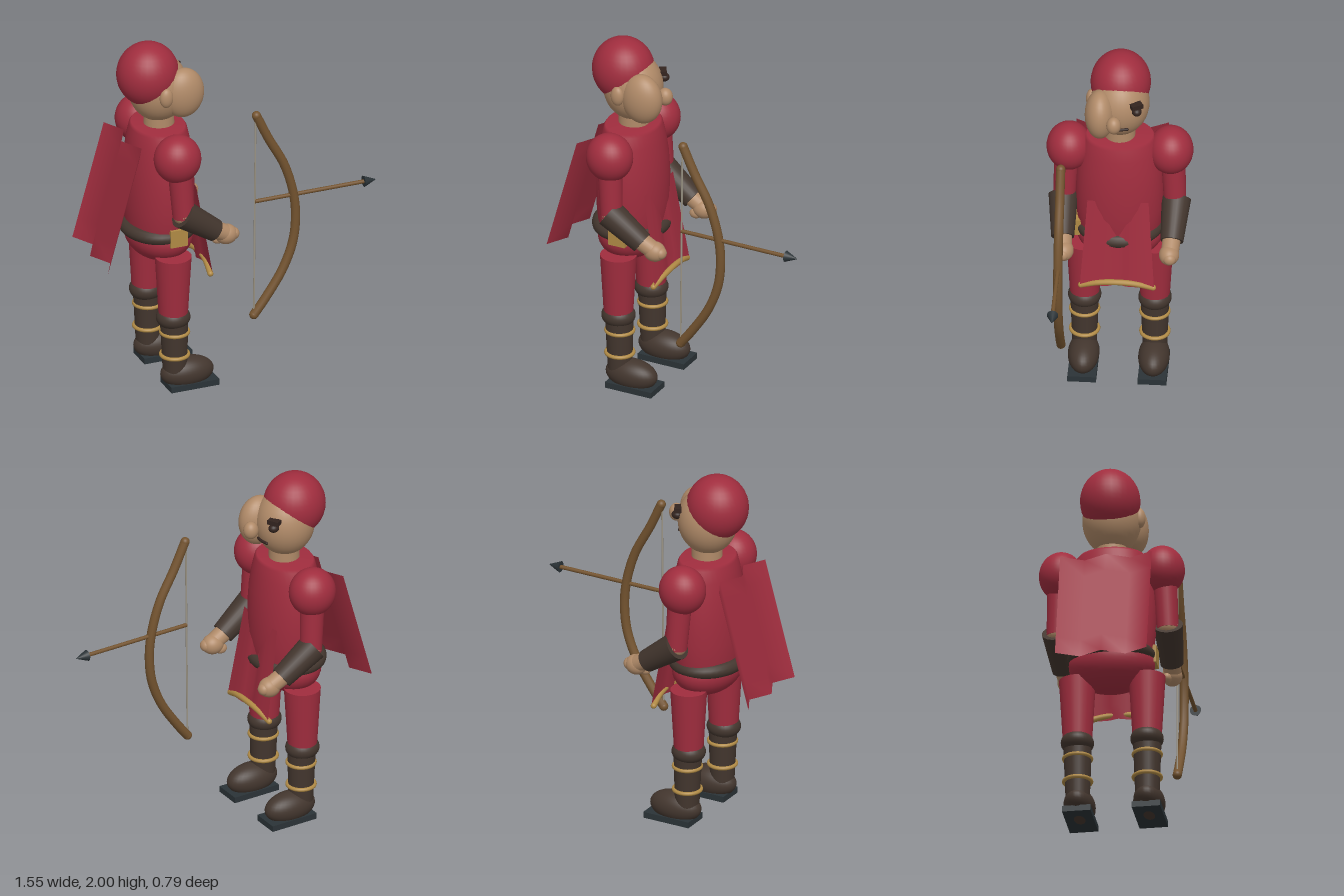
import * as THREE from 'three';

const mat = (name, color, side = THREE.FrontSide) => {
  const m = new THREE.MeshStandardMaterial({ color, side });
  m.name = name;
  return m;
};
const V = (x, y, z) => new THREE.Vector3(x, y, z);

export function createModel() {
  const red = mat('red cloth', 0xa02d3e, THREE.DoubleSide);
  const skin = mat('skin', 0xb08a68);
  const leather = mat('dark leather', 0x43362e);
  const wood = mat('wood', 0x73532f);
  const gold = mat('gold', 0xb08a45);
  const slate = mat('dark slate', 0x2b3337);
  const cord = mat('bow string', 0x9a9384);
  const ink = mat('eye dark', 0x33241f);

  const root = new THREE.Group();
  root.name = 'archer';
  const add = (name, geo, material, p = [0, 0, 0]) => {
    const m = new THREE.Mesh(geo, material);
    m.name = name;
    m.position.set(...p);
    root.add(m);
    return m;
  };
  const ball = (name, material, p, r) => {
    const m = add(name, new THREE.SphereGeometry(1, 32, 20), material, p);
    m.scale.set(...r);
    return m;
  };
  // tapered limb between two points
  const limb = (name, material, a, b, ra, rb) => {
    const A = V(...a), B = V(...b), d = B.clone().sub(A);
    const m = add(name, new THREE.CylinderGeometry(rb, ra, d.length(), 24), material);
    m.position.copy(A).add(B).multiplyScalar(0.5);
    m.quaternion.setFromUnitVectors(V(0, 1, 0), d.normalize());
    return m;
  };
  const tube = (name, material, pts, r, seg = 40) => {
    const path = new THREE.CatmullRomCurve3(pts.map((p) => V(...p)));
    add(name, new THREE.TubeGeometry(path, seg, r, 12), material);
    // closed ends
    ball(name + 'EndA', material, pts[0], [r, r, r]);
    ball(name + 'EndB', material, pts[pts.length - 1], [r, r, r]);
  };
  // hanging cloth: pleated sheet, x slopes from top to bottom
  const cloth = (name, yTop, yBot, xTop, xBot, wTop, wBot, folds) => {
    const n = folds.length - 1;
    const g = new THREE.PlaneGeometry(1, 1, n, 6);
    const p = g.attributes.position;
    for (let i = 0; i < p.count; i++) {
      const u = p.getX(i) + 0.5, t = 0.5 - p.getY(i);
      const fold = folds[Math.round(u * n)];
      const w = THREE.MathUtils.lerp(wTop, wBot, t);
      p.setXYZ(i, THREE.MathUtils.lerp(xTop, xBot, t) + fold,
        THREE.MathUtils.lerp(yTop, yBot, t), (0.5 - u) * w);
    }
    g.computeVertexNormals();
    add(name, g, red);
  };

  // head
  ball('head', skin, [-0.38, 1.73, 0], [0.165, 0.19, 0.16]);
  ball('cap', red, [-0.44, 1.82, 0], [0.172, 0.18, 0.163]);
  ball('cheek', skin, [-0.275, 1.72, 0.1], [0.118, 0.143, 0.083]);
  ball('nose', skin, [-0.175, 1.72, 0.02], [0.042, 0.05, 0.04]);
  ball('ear', skin, [-0.395, 1.732, 0.155], [0.038, 0.056, 0.03]);
  ball('eye', ink, [-0.245, 1.768, -0.1], [0.03, 0.024, 0.027]);
  const brow = add('brow', new THREE.BoxGeometry(0.04, 0.026, 0.065), ink, [-0.25, 1.802, -0.097]);
  brow.rotation.y = 0.5;
  tube('mouth', ink, [[-0.235, 1.652, 0.045], [-0.222, 1.656, 0], [-0.232, 1.655, -0.05]], 0.008, 12);
  limb('neck', skin, [-0.375, 1.46, 0], [-0.375, 1.62, 0], 0.085, 0.082);

  // torso
  const profile = [[0.001, 0.8], [0.15, 0.8], [0.175, 0.92], [0.187, 1.06], [0.187, 1.2],
    [0.18, 1.32], [0.165, 1.43], [0.15, 1.5], [0.14, 1.515], [0.001, 1.52]];
  const torso = add('torso', new THREE.LatheGeometry(
    profile.map(([r, y]) => new THREE.Vector2(r, y)), 40), red, [-0.38, 0, 0]);
  torso.scale.z = 1.28;
  ball('hips', red, [-0.38, 0.87, 0], [0.18, 0.15, 0.235]);

  // belt and buckle
  const belt = add('belt', new THREE.TorusGeometry(0.172, 0.04, 14, 40), leather, [-0.385, 0.915, 0]);
  belt.rotation.x = Math.PI / 2;
  belt.scale.y = 1.14;
  add('buckle', new THREE.BoxGeometry(0.1, 0.1, 0.04), gold, [-0.355, 0.92, 0.225]);

  // cape, front panel and gold hem
  const z = 0.033;
  cloth('cape', 1.44, 0.785, -0.56, -0.743, 0.5, 0.5, [-z, z, -z, z, -z]);
  cloth('frontPanel', 1.17, 0.66, -0.225, -0.145, 0.33, 0.4, [0, 0.004, 0.006, 0.004, -0.014, 0.004, 0.006, 0.004, 0]);
  tube('hem', gold, [[-0.155, 0.65, 0.195], [-0.142, 0.68, 0.1], [-0.137, 0.69, 0],
    [-0.142, 0.68, -0.1], [-0.155, 0.65, -0.195]], 0.016);

  for (const s of [1, -1]) {
    // arms
    ball('shoulder', red, [-0.38, 1.42, s * 0.275], [0.13, 0.135, 0.122]);
    limb('upperArm', red, [-0.355, 1.08, s * 0.3], [-0.375, 1.42, s * 0.285], 0.06, 0.068);
    ball('elbow', skin, [-0.355, 1.095, s * 0.3], [0.06, 0.06, 0.06]);
    limb('cuff', leather, [-0.365, 1.1, s * 0.305], [-0.17, 0.96, s * 0.295], 0.08, 0.062);
    limb('wrist', skin, [-0.2, 0.98, s * 0.295], [-0.1, 0.925, s * 0.288], 0.05, 0.048);
    ball('hand', skin, [-0.1, 0.92, s * 0.285], [0.062, 0.056, 0.055]);
    ball('fingers', skin, [-0.06, 0.92, s * 0.29], [0.032, 0.034, 0.035]);
    ball('thumb', skin, [-0.14, 0.89, s * 0.265], [0.035, 0.028, 0.025]);

    // legs and boots
    limb('leg', red, [-0.37, 0.45, s * 0.19], [-0.37, 0.795, s * 0.19], 0.08, 0.1);
    ball('bootCuff', leather, [-0.37, 0.43, s * 0.19], [0.094, 0.066, 0.09]);
    limb('bootShaft', leather, [-0.36, 0.1, s * 0.19], [-0.365, 0.43, s * 0.19], 0.066, 0.078);
    for (const y of [0.34, 0.205]) {
      const ring = add('bootRing', new THREE.TorusGeometry(0.074, 0.011, 10, 32), gold, [-0.362, y, s * 0.19]);
      ring.rotation.x = Math.PI / 2;
    }
    ball('shoe', leather, [-0.29, 0.09, s * 0.19], [0.152, 0.086, 0.085]);
    add('sole', new THREE.BoxGeometry(0.28, 0.034, 0.155), slate, [-0.272, 0.027, s * 0.19]);
  }

  // bow, string and arrow
  const bz = 0.288;
  tube('bow', wood, [[0.075, 1.6], [0.145, 1.45], [0.235, 1.28], [0.287, 1.11], [0.303, 0.97],
    [0.288, 0.81], [0.228, 0.65], [0.125, 0.49], [0.06, 0.405]].map(([x, y]) => [x, y, bz]), 0.025, 60);
  limb('bowString', cord, [0.06, 0.41, bz], [0.07, 1.6, bz], 0.005, 0.005);
  limb('arrowShaft', wood, [0.065, 1.085, bz], [0.72, 1.085, bz], 0.011, 0.011);
  limb('arrowHead', slate, [0.7, 1.085, bz], [0.77, 1.085, bz], 0.031, 0.001);

  return root;
}
